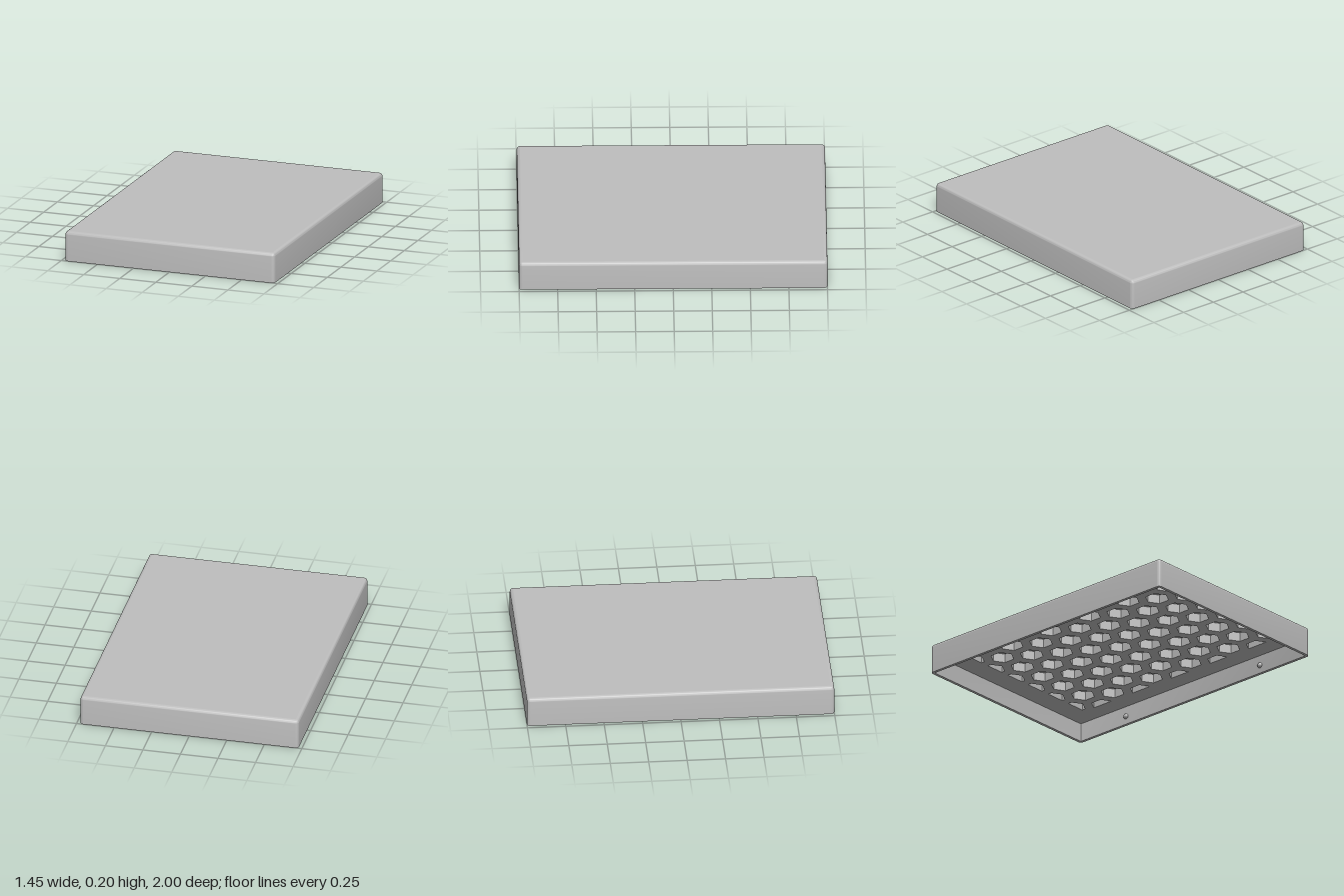
import * as THREE from 'three';
import { toCreasedNormals } from 'three/addons/utils/BufferGeometryUtils.js';

const W = 0.727, L = 1, H = 0.2;         // half width, half length, height
const R = 0.022, WALL = 0.02;            // edge radius, wall thickness
const CEIL = 0.125, POCKET = 0.185;      // underside level, top of the cells
const PX = 0.58, PZ = 0.83;              // half extents of the honeycomb field
const PITCH = 0.195, CELL = 0.078;       // cell spacing and corner radius

// Rounded rectangle loop of [x, z] points, shrunk by an inset
function loop(inset) {
  const r = Math.max(R - inset, 0.001), pts = [];
  const corners = [[1, 1], [-1, 1], [-1, -1], [1, -1]];
  corners.forEach(([sx, sz], q) => {
    for (let i = 0; i <= 6; i++) {
      const a = (q + i / 6) * Math.PI / 2;
      pts.push([sx * (W - inset - r) + r * Math.cos(a), sz * (L - inset - r) + r * Math.sin(a)]);
    }
  });
  return pts;
}

// Skin through rows of [inset, y]
function skin(rows) {
  const pos = [], idx = [], n = loop(0).length;
  for (const [inset, y] of rows) for (const [x, z] of loop(inset)) pos.push(x, y, z);
  for (let j = 0; j < rows.length - 1; j++) {
    for (let i = 0; i < n; i++) {
      const a = j * n + i, b = j * n + (i + 1) % n;
      idx.push(a, a + n, b, b, a + n, b + n);
    }
  }
  const g = new THREE.BufferGeometry();
  g.setAttribute('position', new THREE.Float32BufferAttribute(pos, 3));
  g.setIndex(idx);
  return toCreasedNormals(g, 0.6);
}

// Keep the part of a polygon where sign * point[axis] <= limit
function clip(poly, axis, sign, limit) {
  const out = [];
  poly.forEach((p, i) => {
    const q = poly[(i + 1) % poly.length];
    const dp = sign * p[axis] - limit, dq = sign * q[axis] - limit;
    if (dp <= 0) out.push(p);
    if (dp * dq < 0) {
      const t = dp / (dp - dq);
      out.push([p[0] + (q[0] - p[0]) * t, p[1] + (q[1] - p[1]) * t]);
    }
  });
  return out;
}

// Hexagonal cells, cut off at the edge of the field
function cells() {
  const list = [], rowStep = PITCH * Math.sqrt(3) / 2;
  for (let row = -5; row <= 5; row++) {
    for (let col = -4; col <= 4; col++) {
      const cx = (col + (row % 2 ? 0.5 : 0)) * PITCH, cz = row * rowStep;
      let poly = [];
      for (let k = 0; k < 6; k++) {
        const a = Math.PI / 6 + k * Math.PI / 3;
        poly.push([cx + CELL * Math.cos(a), cz + CELL * Math.sin(a)]);
      }
      for (const s of [1, -1]) {
        poly = clip(poly, 0, s, PX);
        poly = clip(poly, 1, s, PZ);
      }
      if (poly.length > 2) list.push(poly);
    }
  }
  return list;
}

const toPoints = (pts) => pts.map(([x, y]) => new THREE.Vector2(x, y));

export function createModel() {
  const group = new THREE.Group();
  const grey = new THREE.MeshStandardMaterial({ color: 0xbebebe });
  grey.name = 'light grey';
  const add = (name, geometry) => {
    const mesh = new THREE.Mesh(geometry, grey);
    mesh.name = name;
    group.add(mesh);
    return mesh;
  };

  // Walls: inside face, rim, outside face and rounded top edge
  const rows = [[WALL, CEIL], [WALL, 0], [0, 0], [0, H - R]];
  for (let i = 1; i <= 6; i++) {
    const a = i / 6 * Math.PI / 2;
    rows.push([R * (1 - Math.cos(a)), H - R + R * Math.sin(a)]);
  }
  add('walls', skin(rows));

  // Flat top
  const top = new THREE.ShapeGeometry(new THREE.Shape(toPoints(loop(R))));
  add('topPanel', top.rotateX(-Math.PI / 2).translate(0, H, 0));

  // Underside plate with honeycomb pockets
  const plate = new THREE.Shape(toPoints(loop(WALL)));
  plate.holes = cells().map((poly) => new THREE.Path(toPoints(poly)));
  const honeycomb = new THREE.ExtrudeGeometry(plate, { depth: POCKET - CEIL, bevelEnabled: false });
  add('honeycombPlate', honeycomb.rotateX(Math.PI / 2).translate(0, POCKET, 0));

  // Floor of the pockets
  const floor = new THREE.PlaneGeometry(2 * PX, 2 * PZ).rotateX(Math.PI / 2);
  add('pocketFloor', floor.translate(0, POCKET, 0));

  // Small snap bumps inside the long walls
  for (const sx of [-1, 1]) {
    for (const sz of [-1, 1]) {
      const bump = add('snapBump', new THREE.SphereGeometry(0.018, 16, 12));
      bump.position.set(sx * (W - WALL), 0.055, sz * 0.585);
    }
  }
  return group;
}
